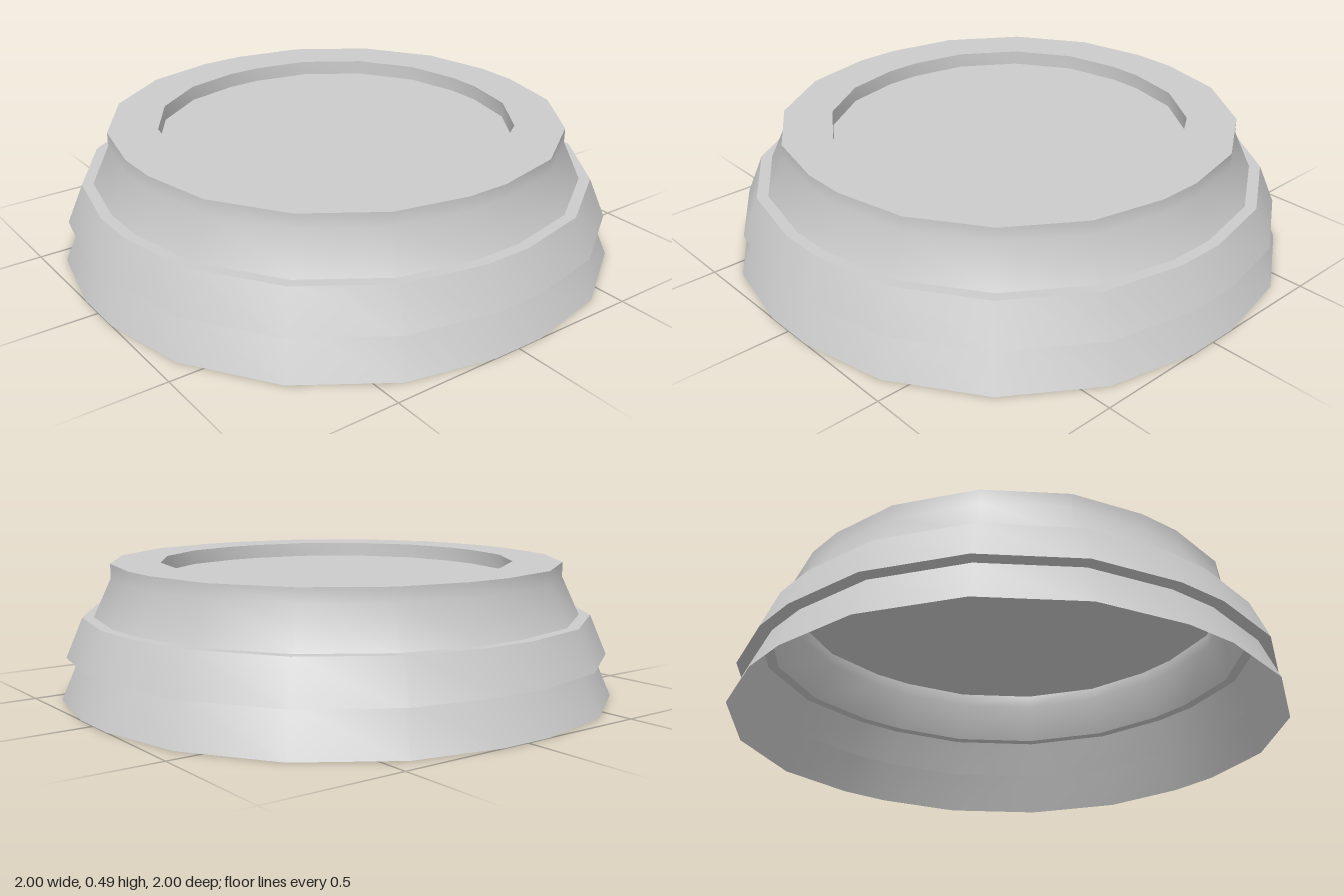
import * as THREE from 'three';
import { toCreasedNormals } from 'three/addons/utils/BufferGeometryUtils.js';

// One quarter of the rounded 20-sided outline at unit size, from +z towards +x
const QUARTER = [[0.1, 1], [0.42, 0.93], [0.725, 0.725], [0.93, 0.42], [1, 0.1]];

// Full outline: the quarter turned four times about the y axis
function outline() {
  const points = [];
  let quarter = QUARTER;
  for (let i = 0; i < 4; i++) {
    points.push(...quarter);
    quarter = quarter.map(([x, z]) => [z, -x]);
  }
  return points;
}

// Sweeps a [radius, height] profile around the outline as a thin open shell
function makeShell(name, profile, material) {
  const ring = outline();
  const geometry = new THREE.LatheGeometry(
    profile.map(([r, y]) => new THREE.Vector2(r, y)), ring.length);
  const position = geometry.attributes.position;
  for (let i = 0; i <= ring.length; i++) {
    const [x, z] = ring[i % ring.length];
    profile.forEach(([r, y], j) => position.setXYZ(i * profile.length + j, x * r, y, z * r));
  }
  const mesh = new THREE.Mesh(toCreasedNormals(geometry, 0.75), material);
  mesh.name = name;
  return mesh;
}

export function createModel() {
  const group = new THREE.Group();
  group.name = 'steppedBase';
  const material = new THREE.MeshStandardMaterial({ color: 0xcccccc, side: THREE.DoubleSide });

  // Flared foot, open underneath
  group.add(makeShell('foot', [[1, 0], [0.937, 0.15]], material));

  // Overhanging collar with its underside lip and top ledge
  group.add(makeShell('collar',
    [[0.937, 0.15], [0.98, 0.155], [0.92, 0.3], [0.88, 0.3]], material));

  // Tapered upper wall ending in a flat rim
  group.add(makeShell('upperWall',
    [[0.88, 0.3], [0.817, 0.44], [0.817, 0.493], [0.64, 0.493]], material));

  // Shallow recess in the top
  group.add(makeShell('recess', [[0.64, 0.493], [0.64, 0.438], [0, 0.438]], material));

  return group;
}
